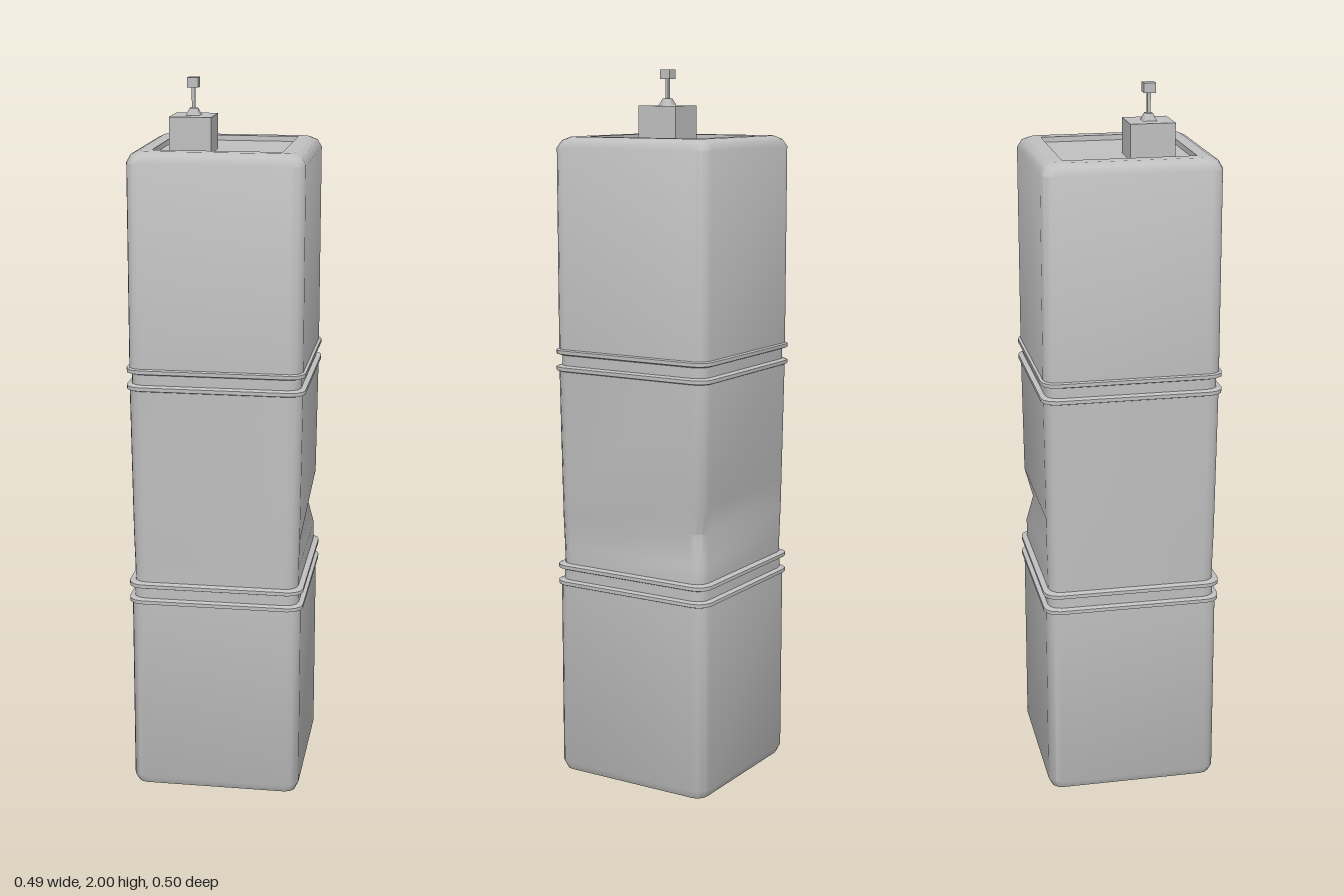
import * as THREE from 'three';
import { toCreasedNormals } from 'three/addons/utils/BufferGeometryUtils.js';

const STEPS = 3; // facets per rounded corner
const RING = 4 * (STEPS + 1);

// Rounded rectangle outline, counter-clockwise seen from above
function outline(hx, hz, r) {
  const points = [];
  for (const [sx, sz, start] of [[1, -1, 0], [-1, -1, 1], [-1, 1, 2], [1, 1, 3]]) {
    for (let i = 0; i <= STEPS; i++) {
      const a = (start + i / STEPS) * Math.PI / 2;
      points.push([sx * (hx - r) + Math.cos(a) * r, sz * (hz - r) - Math.sin(a) * r]);
    }
  }
  return points;
}

// Loft through rings of { y, hx, hz, r }, with optional end caps
function loft(rings, capBottom, capTop, shape) {
  const pos = [], index = [];
  for (const { y, hx, hz, r } of rings) {
    for (const [x, z] of outline(hx, hz, r)) pos.push(x, y, z);
  }
  for (let k = 0; k < rings.length - 1; k++) {
    for (let i = 0; i < RING; i++) {
      const a = k * RING + i, b = k * RING + (i + 1) % RING;
      index.push(a, b, b + RING, a, b + RING, a + RING);
    }
  }
  const last = (rings.length - 1) * RING;
  for (let i = 1; i < RING - 1; i++) {
    if (capBottom) index.push(0, i + 1, i);
    if (capTop) index.push(last, last + i, last + i + 1);
  }
  const geo = new THREE.BufferGeometry();
  geo.setAttribute('position', new THREE.Float32BufferAttribute(pos, 3));
  geo.setIndex(index);
  if (shape) shape(geo.attributes.position);
  return toCreasedNormals(geo, 0.7);
}

const ring = (y, inset = 0, r = 0.035) => ({ y, hx: 0.237 - inset, hz: 0.242 - inset, r });

export function createModel() {
  const group = new THREE.Group();
  const grey = new THREE.MeshStandardMaterial({ color: 0xc0c0c0 });
  grey.name = 'light grey';

  function add(name, geometry, x = 0, y = 0, z = 0) {
    const mesh = new THREE.Mesh(geometry, grey);
    mesh.name = name;
    mesh.position.set(x, y, z);
    group.add(mesh);
  }

  // Lower block with a rounded foot
  add('lowerBlock', loft([
    ring(0.005, 0.028, 0.02), ring(0.013, 0.01, 0.03), ring(0.035), ring(0.57),
  ], true, true));

  // Middle block: narrows slightly downwards and is nicked at one back corner
  add('middleBlock', loft([
    ring(0.62, 0.008), ring(0.68, 0.007), ring(0.76, 0.005), ring(0.84, 0.004), ring(1.19),
  ], true, true, (p) => {
    for (let i = 0; i < p.count; i++) {
      const x = p.getX(i), z = p.getZ(i);
      if (Math.abs(p.getY(i) - 0.76) < 0.01 && x > 0.19 && z < -0.19) {
        p.setX(i, x - 0.02);
        p.setZ(i, z + 0.02);
      }
    }
  }));

  // Upper block with a rounded rim and a shallow recessed roof
  add('upperBlock', loft([
    ring(1.23), ring(1.79), ring(1.81, 0.01, 0.035), ring(1.82, 0.03, 0.03),
    { y: 1.82, hx: 0.173, hz: 0.179, r: 0.002 },
    { y: 1.806, hx: 0.172, hz: 0.178, r: 0.002 },
  ], true, true));

  // Two joints, each a recessed neck between a pair of protruding bands
  for (const [name, y] of [['lower', 0.597], ['upper', 1.21]]) {
    add(name + 'Neck', loft([ring(y - 0.03, 0.006), ring(y + 0.03, 0.006)], true, true));
    for (const [side, dy] of [['Bottom', -0.025], ['Top', 0.022]]) {
      add(name + side + 'Band', loft([
        ring(y + dy - 0.009, 0.003), ring(y + dy - 0.005, -0.007, 0.04),
        ring(y + dy + 0.005, -0.007, 0.04), ring(y + dy + 0.009, 0.003),
      ], true, true));
    }
  }

  // Roof box with a small mast
  add('roofBox', new THREE.BoxGeometry(0.113, 0.1, 0.121), -0.08, 1.851, 0.069);
  add('mastBase', new THREE.CylinderGeometry(0.014, 0.027, 0.02, 4).rotateY(Math.PI / 4), -0.08, 1.91, 0.069);
  add('mast', new THREE.BoxGeometry(0.009, 0.07, 0.009), -0.08, 1.95, 0.069);
  add('mastTip', new THREE.BoxGeometry(0.03, 0.026, 0.032), -0.08, 1.987, 0.069);

  return group;
}
